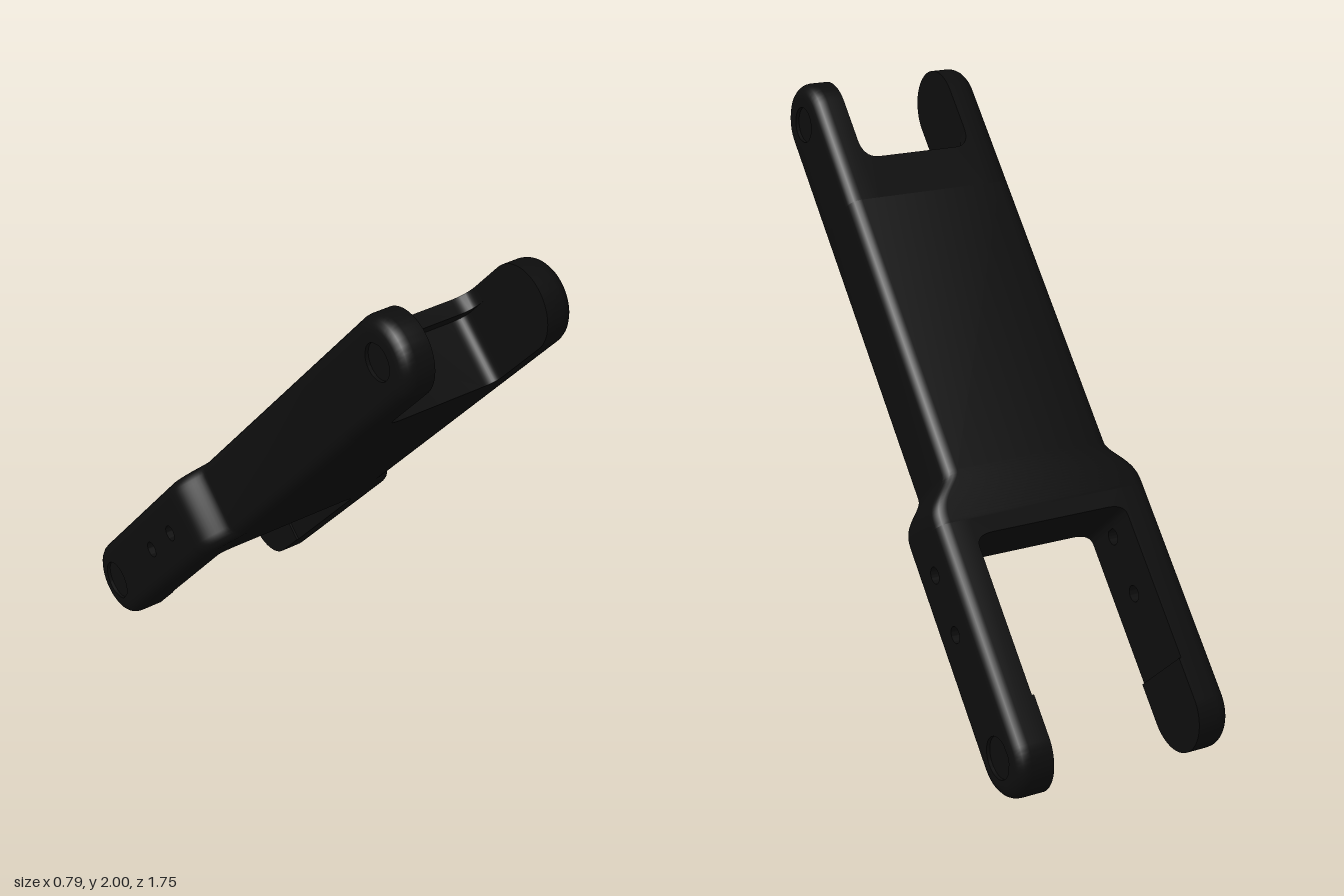
import * as THREE from 'three';
import { toCreasedNormals } from 'three/addons/utils/BufferGeometryUtils.js';

const H = 0.137;        // half thickness, also the radius of the rounded ends
const LEN = 2.272;      // distance between the two pivot centres
const R = 0.045;        // fillet on the outer edges
const STEPS = 6;
const LOWER = { inner: 0.28, outer: 0.395, joint: 0.74 };
const UPPER = { inner: 0.205, outer: 0.31, joint: 1.9 };

const material = new THREE.MeshStandardMaterial({ color: 0x0d0d0d });

function addMesh(parent, name, geometry) {
  const mesh = new THREE.Mesh(toCreasedNormals(geometry, 0.6), material);
  mesh.name = name;
  parent.add(mesh);
}

// Bar with one round end at the origin, running along +y and cut flat at length
function barShape(length) {
  const shape = new THREE.Shape();
  shape.moveTo(length, H);
  shape.lineTo(0.002, H);
  shape.absarc(0, 0, H, Math.PI / 2, Math.PI * 1.5, false);
  shape.lineTo(length, -H);
  return shape;
}

// Turns an extrusion (along, across, depth) into a part lying across x
function mapVertices(geometry, rule) {
  const p = geometry.attributes.position;
  for (let i = 0; i < p.count; i++) {
    const [x, y, z] = rule(p.getX(i), p.getY(i), p.getZ(i));
    p.setXYZ(i, x, y, z);
  }
  return geometry;
}

// Fork arm: flat inside, filleted outside, drilled across
function armGeometry(inner, outer, length, holes) {
  const shape = barShape(length);
  for (const [s, radius] of holes) {
    const path = new THREE.Path();
    path.absarc(s, 0, radius, 0, Math.PI * 2, true);
    shape.holes.push(path);
  }
  const geometry = new THREE.ExtrudeGeometry(shape, {
    depth: 1, steps: STEPS, bevelEnabled: false, curveSegments: 28,
  });
  return mapVertices(geometry, (s, t, d) => {
    const layer = Math.round(d * STEPS);
    if (layer === 0) return [inner, s, t];
    const a = ((layer - 1) / (STEPS - 1)) * Math.PI / 2;
    const axis = Math.max(s, 0);
    const onRim = Math.hypot(s - axis, t) > H - 0.002;
    const k = onRim ? (H - R * (1 - Math.cos(a))) / H : 1;
    return [outer - R + R * Math.sin(a), axis + (s - axis) * k, t * k];
  });
}

// Arm with the floor of its shallow pivot recess
function makeArm(name, { inner, outer }, length, pivot, depth, holes) {
  const group = new THREE.Group();
  group.name = name;
  addMesh(group, 'armBar', armGeometry(inner, outer, length, [[0, pivot], ...holes]));
  const thick = outer - depth - inner;
  const floor = new THREE.CylinderGeometry(pivot, pivot, thick, 56);
  floor.rotateZ(Math.PI / 2).translate(inner + thick / 2, 0, 0);
  addMesh(group, 'pivotRecessFloor', floor);
  return group;
}

// Web closing a slot, with rounded inside corners; dir is the way the slot opens
function webGeometry({ inner: half, joint }, edge, fx, fy, dir, z0, z1) {
  const tip = edge + dir * fy;
  const shape = new THREE.Shape();
  shape.moveTo(-half, joint);
  shape.lineTo(-half, tip);
  shape.quadraticCurveTo(-half, edge, -half + fx, edge);
  shape.lineTo(half - fx, edge);
  shape.quadraticCurveTo(half, edge, half, tip);
  shape.lineTo(half, joint);
  const geometry = new THREE.ExtrudeGeometry(shape, {
    depth: z1 - z0, bevelEnabled: false, curveSegments: 10,
  });
  return geometry.translate(0, 0, z0);
}

// Main body: filleted cross-section lofted through the shoulders
function bodyGeometry() {
  const stations = [];
  for (let i = 0; i <= 16; i++) {
    const k = (i / 16) ** 1.6;
    const ease = k * k * (3 - 2 * k);
    stations.push([LOWER.joint + 0.17 * i / 16, THREE.MathUtils.lerp(LOWER.outer, UPPER.outer, ease)]);
  }
  stations.push([UPPER.joint, UPPER.outer]);

  const corners = 4, perCorner = 6, ring = corners * perCorner;
  const positions = [], index = [];
  for (const [s, half] of stations) {
    for (let c = 0; c < corners; c++) {
      const sx = c === 0 || c === 3 ? 1 : -1;
      const sz = c < 2 ? 1 : -1;
      for (let j = 0; j < perCorner; j++) {
        const a = (c + j / (perCorner - 1)) * Math.PI / 2;
        positions.push(sx * (half - R) + R * Math.cos(a), s, sz * (H - R) + R * Math.sin(a));
      }
    }
  }
  for (let i = 0; i < stations.length - 1; i++) {
    for (let j = 0; j < ring; j++) {
      const a = i * ring + j, b = i * ring + (j + 1) % ring;
      index.push(a, a + ring, b, b, a + ring, b + ring);
    }
  }
  const geometry = new THREE.BufferGeometry();
  geometry.setAttribute('position', new THREE.Float32BufferAttribute(positions, 3));
  geometry.setIndex(index);
  return geometry;
}

export function createModel() {
  const model = new THREE.Group();
  model.name = 'linkArm';

  // Everything is built upright along y, then tilted
  const link = new THREE.Group();
  link.name = 'tiltedLink';
  link.position.set(0, H, -0.737);
  link.rotation.x = Math.atan2(1.474, 1.728);
  model.add(link);

  addMesh(link, 'body', bodyGeometry());

  // Wide lower fork and narrow upper fork
  for (const left of [true, false]) {
    const side = left ? 'left' : 'right';

    const lower = makeArm(side + 'LowerArm', LOWER, LOWER.joint, 0.07, 0.012,
      [[0.414, 0.028], [0.619, 0.028]]);
    const pad = new THREE.ExtrudeGeometry(barShape(0.14), {
      depth: 0.008, bevelEnabled: false, curveSegments: 28,
    });
    addMesh(lower, 'innerPad', mapVertices(pad, (s, t, d) => [LOWER.inner - 0.008 + d, s, t]));
    if (!left) lower.rotation.y = Math.PI;
    link.add(lower);

    const upper = makeArm(side + 'UpperArm', UPPER, LEN - UPPER.joint, 0.06, 0.012, []);
    upper.position.y = LEN;
    upper.rotation[left ? 'x' : 'z'] = Math.PI;
    link.add(upper);
  }

  // Slot ends; the upper one steps back beneath a thin lip
  addMesh(link, 'lowerWeb', webGeometry(LOWER, 0.683, 0.065, 0.04, -1, -H, H));
  addMesh(link, 'upperWeb', webGeometry(UPPER, 1.982, 0.05, 0.05, 1, -0.085, H));
  addMesh(link, 'upperLip', webGeometry(UPPER, 2.052, 0.06, 0.07, 1, -H, -0.085));

  return model;
}
